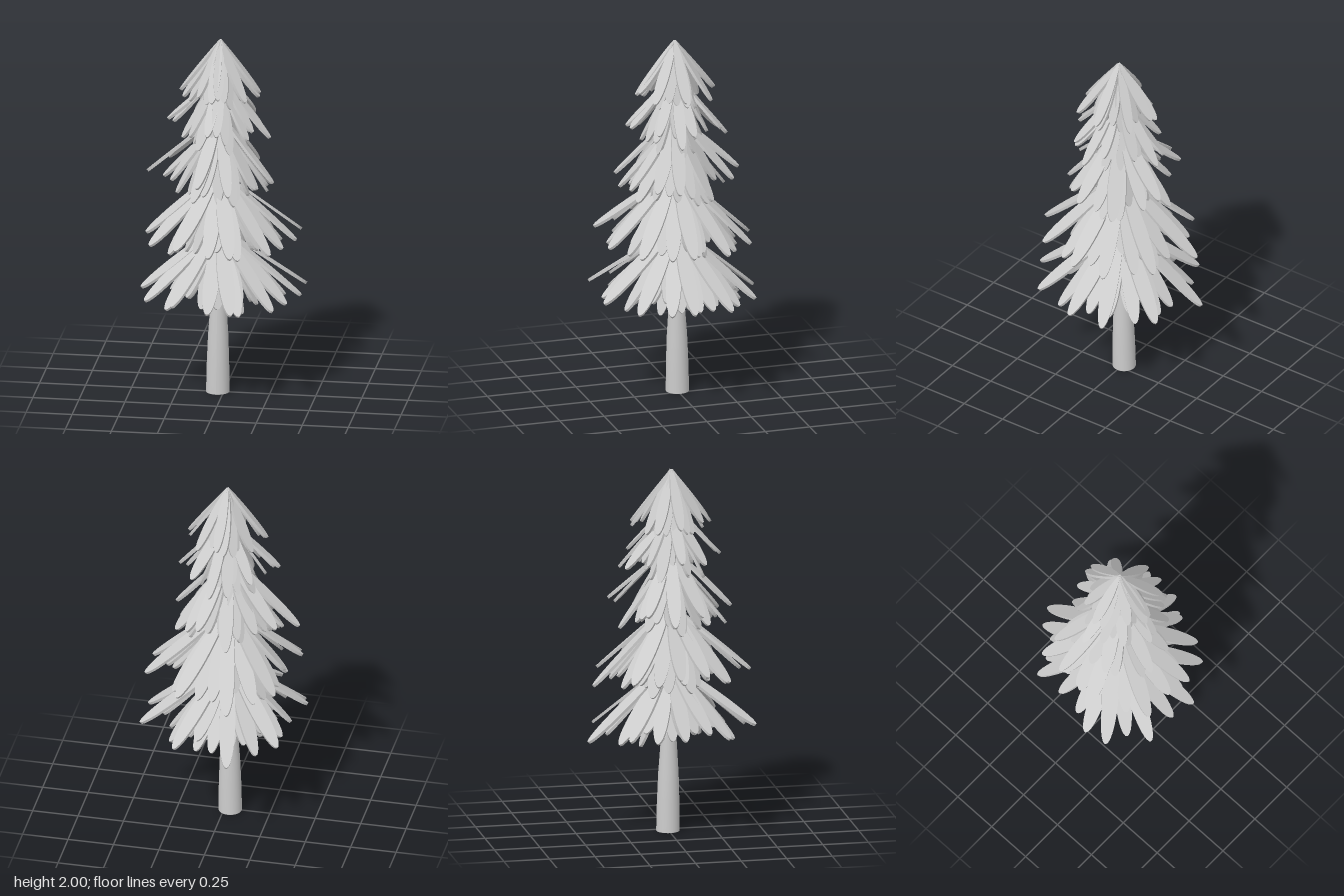
import * as THREE from 'three';

const grey = () => new THREE.MeshStandardMaterial({ color: 0xcccccc });

// Small seeded generator for natural variation
function seeded(seed) {
  return () => {
    seed = (seed * 16807) % 2147483647;
    return seed / 2147483647;
  };
}

// Gently leaning trunk axis
const axis = (y) => new THREE.Vector3(-0.033 + 0.009 * y, y, -0.003 + 0.0105 * y);

// Unit frond: a slab one long, narrow at the root, widest past the middle, lying along +y
function frondGeometry() {
  const shape = new THREE.Shape();
  shape.moveTo(0.1, 0);
  shape.bezierCurveTo(0.3, 0.12, 0.5, 0.4, 0.5, 0.6);
  shape.bezierCurveTo(0.5, 0.82, 0.3, 1, 0, 1);
  shape.bezierCurveTo(-0.3, 1, -0.5, 0.82, -0.5, 0.6);
  shape.bezierCurveTo(-0.5, 0.4, -0.3, 0.12, -0.1, 0);
  const geometry = new THREE.ExtrudeGeometry(shape, { depth: 1, bevelEnabled: false, curveSegments: 8 });
  return geometry.translate(0, 0, -0.5);
}

function trunk() {
  // Doubled base rim keeps the bottom edge crisp
  const profile = [[0, 0], [0.063, 0], [0.063, 0.002], [0.061, 0.15], [0.055, 0.32], [0.043, 0.5], [0.037, 0.65],
    [0.034, 1.1], [0.024, 1.6], [0.01, 1.97], [0, 1.98]].map(([r, y]) => new THREE.Vector2(r, y));
  const geometry = new THREE.LatheGeometry(profile, 28);
  const p = geometry.attributes.position;
  for (let i = 0; i < p.count; i++) {
    const c = axis(p.getY(i));
    p.setX(i, p.getX(i) + c.x);
    p.setZ(i, p.getZ(i) + c.z);
  }
  geometry.computeVertexNormals();
  const mesh = new THREE.Mesh(geometry, grey());
  mesh.name = 'trunk';
  return mesh;
}

// Tips of the long outer fronds of the lowest tier, repeated a little smaller in the tier above
const lowTips = [[-0.11, 0.53, -0.455], [0, 0.54, -0.335], [0.09, 0.53, -0.315], [0.2, 0.56, -0.37],
  [0.24, 0.54, -0.265], [0.425, 0.58, -0.17], [0.33, 0.56, -0.02], [0.425, 0.58, 0.04], [0.36, 0.56, 0.15],
  [0.31, 0.57, 0.32], [0.13, 0.54, 0.34], [0.1, 0.58, 0.45], [-0.03, 0.57, 0.42], [-0.22, 0.61, 0.44],
  [-0.27, 0.55, 0.31], [-0.39, 0.58, 0.265], [-0.425, 0.62, 0.15], [-0.36, 0.57, 0.03], [-0.34, 0.56, -0.12],
  [-0.35, 0.58, -0.27], [-0.24, 0.54, -0.31]];
const midTips = lowTips.map(([x, y, z]) => [0.94 * x, y + 0.31, 0.94 * z]);

// Tiers from the top: spread is the angle from vertical in degrees of the scattered
// fronds, inner to outer; long lists the tips of single far-reaching fronds
const tiers = [
  { y: 1.99, jitter: 0.008, count: 23, length: 0.35, width: 0.057, spread: [18, 35],
    long: [[-0.23, 1.71, 0.03], [0.2, 1.71, 0.02], [0, 1.72, 0.22], [0, 1.72, -0.2]] },
  { y: 1.79, jitter: 0.04, count: 25, length: 0.38, width: 0.06, spread: [22, 39],
    long: [[-0.3, 1.54, 0.02], [0.26, 1.47, 0.06], [-0.05, 1.53, 0.28], [0.03, 1.46, -0.26]] },
  { y: 1.57, jitter: 0.05, count: 29, length: 0.45, width: 0.073, spread: [22, 40],
    long: [[-0.42, 1.22, -0.04], [-0.32, 1.26, -0.17], [0.08, 1.28, -0.31], [0.28, 1.22, 0.08], [-0.1, 1.25, 0.33]] },
  { y: 1.25, jitter: 0.03, count: 22, length: 0.47, width: 0.085, spread: [22, 36], long: midTips },
  { y: 0.93, jitter: 0.03, count: 22, length: 0.45, width: 0.085, spread: [24, 38], long: lowTips },
];

export function createModel() {
  const model = new THREE.Group();
  model.name = 'pineTree';
  model.add(trunk());

  const random = seeded(4711);
  const vary = (amount) => amount * (2 * random() - 1);
  const geometry = frondGeometry();
  const material = grey();

  // Place one frond from the trunk axis to its tip, broad face up and outward
  function addFrond(parent, baseY, tip, width, roll) {
    const base = axis(baseY);
    const along = tip.clone().sub(base);
    const length = along.length();
    along.normalize();
    const side = new THREE.Vector3(along.z, 0, -along.x).normalize().applyAxisAngle(along, roll);
    const normal = new THREE.Vector3().crossVectors(side, along);
    const mesh = new THREE.Mesh(geometry, material);
    mesh.name = 'frond';
    mesh.quaternion.setFromRotationMatrix(new THREE.Matrix4().makeBasis(side, along, normal));
    mesh.position.copy(base);
    mesh.scale.set(width, length, 0.015);
    parent.add(mesh);
  }

  tiers.forEach(({ y, jitter, count, length, width, spread, long }, t) => {
    const tier = new THREE.Group();
    tier.name = `frondTier${t + 1}`;
    for (let i = 0; i < count; i++) {
      // Neighbours alternate between outer, middle and inner fronds
      const angle = ((i + vary(0.35)) / count) * Math.PI * 2 + t;
      const tilt = THREE.MathUtils.degToRad(THREE.MathUtils.lerp(spread[1], spread[0], (i % 3) / 2) + vary(4));
      const size = length * (1 + vary(0.08));
      const baseY = y + vary(jitter);
      const tip = axis(baseY).add(new THREE.Vector3(
        size * Math.sin(tilt) * Math.sin(angle),
        -size * Math.cos(tilt),
        size * Math.sin(tilt) * Math.cos(angle)));
      addFrond(tier, baseY, tip, width * (1 + vary(0.12)), vary(0.35));
    }
    for (const tip of long) addFrond(tier, y + 0.005, new THREE.Vector3(...tip), width, vary(0.2));
    model.add(tier);
  });

  return model;
}
